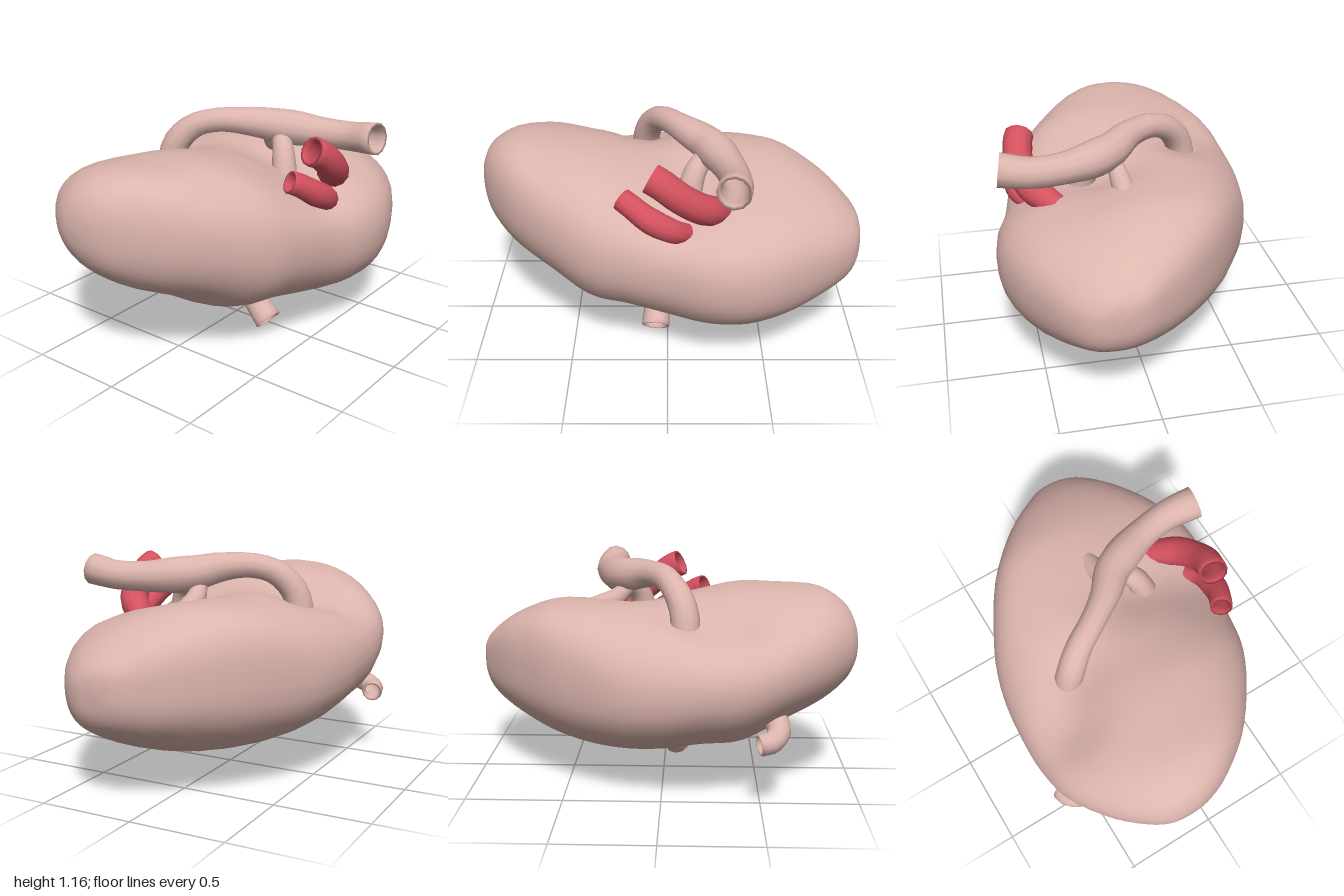
import * as THREE from 'three';

const V = (p) => new THREE.Vector3(...p);

// Skins a list of closed rings (equal point counts) with triangles.
function skin(rings) {
  const n = rings[0].length, pos = [], index = [];
  rings.forEach((ring) => ring.forEach((p) => pos.push(p.x, p.y, p.z)));
  for (let i = 0; i < rings.length - 1; i++) {
    for (let j = 0; j < n; j++) {
      const a = i * n + j, b = i * n + (j + 1) % n;
      index.push(a, a + n, b, b, a + n, b + n);
    }
  }
  const g = new THREE.BufferGeometry();
  g.setAttribute('position', new THREE.Float32BufferAttribute(pos, 3));
  g.setIndex(index);
  g.computeVertexNormals();
  return g;
}

// Tapered vessel; a wall above zero gives it a hollow mouth at its first point.
function vesselGeometry(points, radii, rows = 16, wall = 0.2, sides = 12) {
  const curve = new THREE.CatmullRomCurve3(points.map(V));
  const frames = curve.computeFrenetFrames(rows, false);
  const radiusCurve = new THREE.SplineCurve(radii.map((r, i) => new THREE.Vector2(i, r)));
  const ring = (i, scale) => {
    const c = curve.getPointAt(i / rows);
    const r = radiusCurve.getPoint(i / rows).y * scale;
    return Array.from({ length: sides }, (_, j) => {
      const a = j / sides * Math.PI * 2;
      return c.clone()
        .addScaledVector(frames.normals[i], r * Math.cos(a))
        .addScaledVector(frames.binormals[i], -r * Math.sin(a));
    });
  };
  const rings = [];
  if (wall > 0) for (let i = Math.floor(rows / 3); i >= 0; i--) rings.push(ring(i, 1 - wall));
  for (let i = 0; i <= rows; i++) rings.push(ring(i, 1));
  return skin(rings);
}

// Two-lobed bean-shaped body lofted along x.
function bodyGeometry() {
  // x, top y, bottom y, back z, front z
  const stations = [
    [-1, 0.78, 0.74, -0.2, -0.16], [-0.985, 0.87, 0.65, -0.29, -0.06],
    [-0.93, 0.965, 0.55, -0.39, 0.07], [-0.8, 1.035, 0.445, -0.53, 0.25],
    [-0.6, 1.04, 0.345, -0.66, 0.42], [-0.4, 1.035, 0.23, -0.7, 0.54],
    [-0.2, 1.0, 0.21, -0.7, 0.59], [0, 0.98, 0.175, -0.68, 0.63],
    [0.2, 0.97, 0.16, -0.63, 0.69], [0.4, 0.965, 0.17, -0.53, 0.69],
    [0.6, 0.95, 0.215, -0.4, 0.62], [0.8, 0.86, 0.305, -0.21, 0.5],
    [0.93, 0.76, 0.385, -0.03, 0.39], [0.985, 0.69, 0.47, 0.07, 0.3],
    [1, 0.62, 0.57, 0.15, 0.2],
  ];
  const rail = (a, b) => new THREE.CatmullRomCurve3(
    stations.map((s) => new THREE.Vector3(s[0], s[a], s[b])), false, 'catmullrom', 0.5);
  const topBack = rail(1, 3), bottomFront = rail(2, 4);
  // hollows on the upper side: x, z, spread, depth
  const hollows = [[0.04, 0.46, 0.22, 0.1], [0.14, 0.14, 0.18, 0.08], [0.5, 0.32, 0.25, 0.04],
    [-0.12, -0.33, 0.15, 0.07], [-0.34, -0.5, 0.18, 0.1]];
  const rows = 48, sides = 40, rings = [];
  for (let i = 0; i <= rows; i++) {
    const p = topBack.getPoint(i / rows), q = bottomFront.getPoint(i / rows);
    const cy = (p.y + q.y) / 2, h = (p.y - q.y) / 2;
    const cz = (p.z + q.z) / 2, d = (q.z - p.z) / 2;
    // left lobe is rounder and crests forward, right lobe is fuller and crests backward
    const side = THREE.MathUtils.clamp(p.x / 0.4, -1, 1);
    const plump = Math.min(1, d / 0.5);
    const crest = (side > 0 ? -0.14 : -0.08) * side * plump;
    const belly = 0.06 * plump;
    const exponent = 0.9 - 0.04 * side;
    const power = (v) => Math.sign(v) * Math.abs(v) ** exponent;
    rings.push(Array.from({ length: sides }, (_, j) => {
      const a = j / sides * Math.PI * 2;
      const s = power(Math.sin(a));
      const z = cz + d * power(Math.cos(a)) + (s > 0 ? crest : belly) * s * s;
      let y = cy + h * s;
      for (const [hx, hz, w, depth] of hollows) {
        const r2 = ((p.x - hx) ** 2 + (z - hz) ** 2) / (w * w);
        y -= depth * Math.max(0, s) * Math.exp(-r2);
      }
      return new THREE.Vector3(p.x, y, z);
    }));
  }
  // close the two ends
  const centre = (ring) => {
    const c = ring.reduce((s, p) => s.add(p), new THREE.Vector3()).divideScalar(ring.length);
    return ring.map(() => c.clone());
  };
  return skin([centre(rings[0]), ...rings, centre(rings[rows])]);
}

export function createModel() {
  const group = new THREE.Group();
  const flesh = new THREE.MeshStandardMaterial({ color: 0xdcb5ad, side: THREE.DoubleSide });
  const red = new THREE.MeshStandardMaterial({ color: 0xd4525f, side: THREE.DoubleSide });
  const add = (name, geometry, material) => {
    const mesh = new THREE.Mesh(geometry, material);
    mesh.name = name;
    group.add(mesh);
  };

  add('body', bodyGeometry(), flesh);

  // long vessel arching over the top
  add('mainVessel', vesselGeometry(
    [[0.305, 1.06, 0.66], [0.325, 1.04, 0.5], [0.29, 1.04, 0.3], [0.2, 1.06, 0.1],
      [0.1, 1.085, 0], [0, 1.09, -0.14], [-0.06, 1.05, -0.25], [-0.11, 0.95, -0.33], [-0.12, 0.82, -0.36]],
    [0.085, 0.078, 0.08, 0.095, 0.085, 0.068, 0.065, 0.072, 0.075], 26), flesh);

  // short roots joining the long vessel to the body
  add('frontRoot', vesselGeometry(
    [[0.2, 1.02, 0.14], [0.14, 0.95, 0.2], [0.1, 0.8, 0.24]], [0.05, 0.06, 0.07], 8, 0), flesh);
  add('sideRoot', vesselGeometry(
    [[0.18, 1.02, 0.08], [0.26, 0.94, 0.06], [0.45, 0.87, 0.05]], [0.04, 0.055, 0.05], 8, 0), flesh);

  // red vessels at the front
  add('largeRedVessel', vesselGeometry(
    [[-0.08, 1.065, 0.52], [-0.03, 1.04, 0.535], [0.06, 0.97, 0.54], [0.17, 0.89, 0.5], [0.28, 0.82, 0.38]],
    [0.075, 0.075, 0.075, 0.075, 0.06], 14), red);
  add('smallRedVessel', vesselGeometry(
    [[-0.22, 0.94, 0.49], [-0.18, 0.92, 0.515], [-0.09, 0.86, 0.55], [0.02, 0.8, 0.55], [0.09, 0.76, 0.5]],
    [0.058, 0.06, 0.065, 0.06, 0.05], 14), red);

  // outlets underneath and at the back
  add('lowerOutlet', vesselGeometry(
    [[-0.065, 0.055, 0.265], [-0.06, 0.1, 0.215], [-0.055, 0.16, 0.16], [-0.05, 0.26, 0.1]],
    [0.075, 0.07, 0.07, 0.08], 10), flesh);
  add('backOutlet', vesselGeometry(
    [[-0.48, 0.36, -0.645], [-0.54, 0.37, -0.63], [-0.58, 0.4, -0.55], [-0.56, 0.45, -0.45]],
    [0.055, 0.055, 0.06, 0.06], 10), flesh);

  return group;
}
